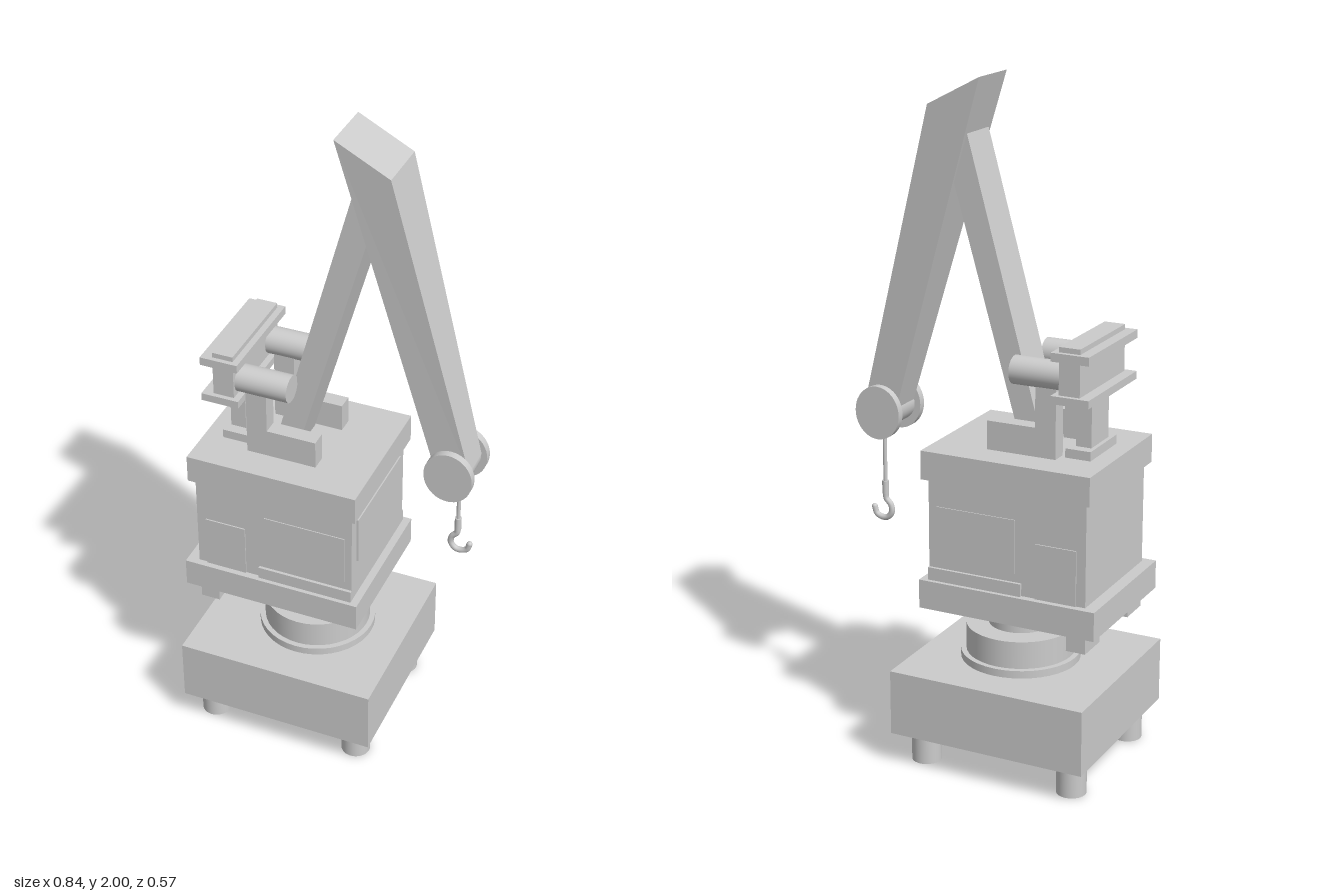
import * as THREE from 'three';

const material = new THREE.MeshStandardMaterial({ color: 0xcccccc });

export function createModel() {
  const model = new THREE.Group();
  model.name = 'craneTower';

  // Upper works sit slightly behind the centre of the base
  const upper = new THREE.Group();
  upper.name = 'upperWorks';
  upper.position.z = -0.008;
  model.add(upper);

  const add = (parent, name, geometry) => {
    const mesh = new THREE.Mesh(geometry, material);
    mesh.name = name;
    parent.add(mesh);
    return mesh;
  };

  // Box given by its limits on each axis
  const box = (parent, name, x0, x1, y0, y1, z0, z1) => {
    const mesh = add(parent, name, new THREE.BoxGeometry(x1 - x0, y1 - y0, z1 - z0));
    mesh.position.set((x0 + x1) / 2, (y0 + y1) / 2, (z0 + z1) / 2);
    return mesh;
  };

  // Upright cylinder between two heights
  const drum = (parent, name, x, z, r, y0, y1) => {
    const mesh = add(parent, name, new THREE.CylinderGeometry(r, r, y1 - y0, 40));
    mesh.position.set(x, (y0 + y1) / 2, z);
    return mesh;
  };

  // Side outline extruded symmetrically in z
  const slab = (points, halfWidth) => {
    const shape = new THREE.Shape(points.map(([x, y]) => new THREE.Vector2(x, y)));
    const g = new THREE.ExtrudeGeometry(shape, { depth: 2 * halfWidth, bevelEnabled: false });
    return g.translate(0, 0, -halfWidth);
  };

  // Base and feet
  box(model, 'base', -0.41, 0.2, 0.1, 0.297, -0.285, 0.285);
  for (const x of [-0.343, 0.127])
    for (const z of [-0.201, 0.201]) drum(model, 'foot', x, z, 0.044, 0, 0.1);

  // Slewing ring and neck
  drum(model, 'ringFlange', -0.083, 0, 0.177, 0.297, 0.32);
  drum(model, 'slewingRing', -0.083, 0, 0.161, 0.32, 0.403);
  drum(model, 'neck', -0.083, 0, 0.095, 0.403, 0.49);

  // Machinery house
  box(upper, 'floorPlate', -0.418, 0.131, 0.49, 0.576, -0.222, 0.222);
  box(upper, 'house', -0.382, 0.108, 0.576, 0.88, -0.201, 0.201);
  box(upper, 'roof', -0.398, 0.124, 0.88, 0.965, -0.218, 0.218);
  box(upper, 'frontWindow', 0.108, 0.114, 0.7, 0.85, -0.165, 0.165);

  for (const s of [-1, 1]) {
    const side = new THREE.Group();
    side.name = s > 0 ? 'frontSideFittings' : 'backSideFittings';
    upper.add(side);
    const sideBox = (name, x0, x1, y0, y1, z0, z1) =>
      box(side, name, x0, x1, y0, y1, Math.min(s * z0, s * z1), Math.max(s * z0, s * z1));

    // House side details
    sideBox('door', -0.354, -0.228, 0.576, 0.74, 0.201, 0.205);
    sideBox('sidePanel', -0.165, 0.085, 0.64, 0.8, 0.201, 0.204);
    sideBox('sideStep', -0.185, 0.108, 0.576, 0.614, 0.201, 0.21);
    sideBox('underBlock', -0.382, -0.323, 0.435, 0.49, 0.1, 0.198);

    // Angled bracket carrying the winch motor
    sideBox('bracketFoot', -0.25, -0.037, 0.965, 1.05, 0.074, 0.122);
    sideBox('bracketPost', -0.25, -0.187, 1.05, 1.19, 0.074, 0.122);
    const motor = add(side, 'motor', new THREE.CylinderGeometry(0.041, 0.041, 0.16, 32));
    motor.rotation.z = Math.PI / 2;
    motor.position.set(-0.195, 1.205, s * 0.104);

    // Sheave cheeks at the boom tip
    const cheek = add(side, 'sheaveCheek', new THREE.CylinderGeometry(1, 1, 0.023, 40));
    cheek.scale.set(0.072, 1, 0.08);
    cheek.rotation.x = Math.PI / 2;
    cheek.position.set(0.345, 1.005, s * 0.065);
  }

  // Rear beam on its post
  box(upper, 'beamPostBase', -0.342, -0.265, 0.965, 0.992, -0.09, 0.09);
  box(upper, 'beamPost', -0.33, -0.283, 0.992, 1.14, -0.058, 0.058);
  box(upper, 'beamLowerFlange', -0.367, -0.253, 1.14, 1.163, -0.166, 0.166);
  box(upper, 'beamWeb', -0.335, -0.272, 1.163, 1.26, -0.152, 0.152);
  box(upper, 'beamUpperFlange', -0.367, -0.253, 1.26, 1.285, -0.166, 0.166);
  box(upper, 'beamCap', -0.335, -0.272, 1.285, 1.3, -0.152, 0.152);

  // Rising mast
  add(upper, 'mast', slab([[-0.19, 0.965], [-0.119, 0.965], [0.115, 1.78], [0.068, 1.9]], 0.065));

  // Hanging boom, narrowing in z toward its tip
  const boom = slab([[0.005, 2], [0.294, 1.02], [0.4, 1.02], [0.165, 1.917]], 1);
  const p = boom.attributes.position;
  for (let i = 0; i < p.count; i++) {
    const t = Math.min(1, Math.max(0, (p.getY(i) - 1.02) / 0.897));
    p.setZ(i, p.getZ(i) * (0.052 + 0.032 * t));
  }
  boom.computeVertexNormals();
  add(upper, 'boom', boom);

  // Sheave, rope and hook
  const axle = add(upper, 'sheave', new THREE.CylinderGeometry(0.053, 0.053, 0.11, 32));
  axle.rotation.x = Math.PI / 2;
  axle.position.set(0.345, 1.005, 0);
  drum(upper, 'rope', 0.345, -0.034, 0.006, 0.77, 0.97);
  drum(upper, 'hookShank', 0.345, -0.034, 0.01, 0.745, 0.785);
  const hookPoints = [[0.345, 0.75], [0.343, 0.73], [0.328, 0.712], [0.325, 0.69],
    [0.338, 0.672], [0.358, 0.669], [0.376, 0.678], [0.383, 0.698]];
  const hookCurve = new THREE.CatmullRomCurve3(
    hookPoints.map(([x, y]) => new THREE.Vector3(x, y, -0.034)));
  add(upper, 'hook', new THREE.TubeGeometry(hookCurve, 40, 0.009, 10));
  const tip = add(upper, 'hookTip', new THREE.SphereGeometry(0.009, 12, 8));
  tip.position.set(0.383, 0.698, -0.034);

  return model;
}
